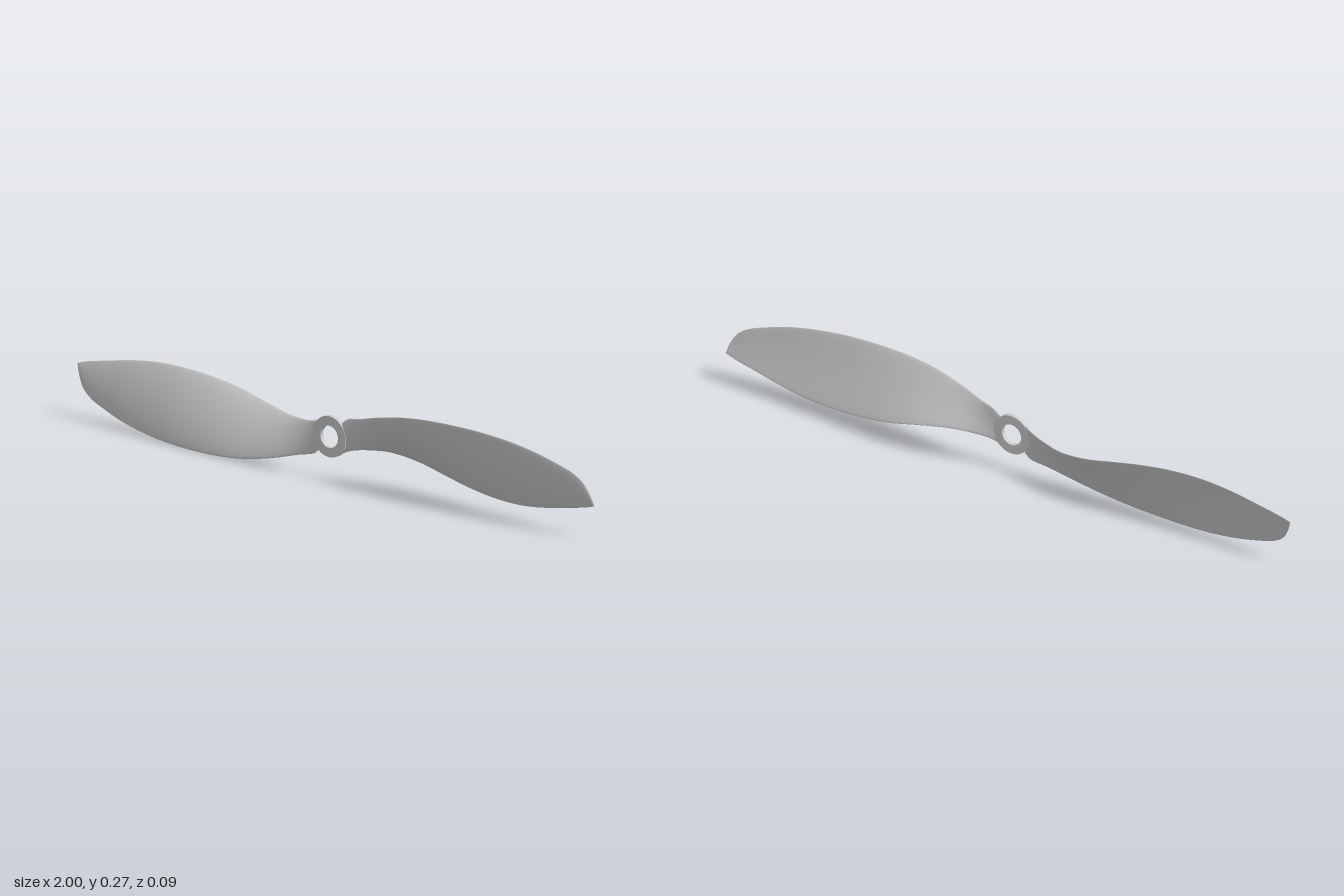
import * as THREE from 'three';

const AXIS_Y = 0.135; // height of the shaft axis

// Blade stations from root to tip: x, upper edge y, z, lower edge y, z, thickness
const STATIONS = [
  [0.045, 0.185, 0.013, 0.09, 0.012, 0.010],
  [0.07, 0.202, 0.014, 0.101, 0.006, 0.011],
  [0.12, 0.213, 0.022, 0.110, -0.008, 0.013],
  [0.2, 0.235, 0.034, 0.113, -0.029, 0.014],
  [0.3, 0.256, 0.042, 0.098, -0.043, 0.014],
  [0.4, 0.267, 0.044, 0.075, -0.045, 0.014],
  [0.5, 0.270, 0.042, 0.058, -0.038, 0.013],
  [0.6, 0.268, 0.038, 0.049, -0.030, 0.012],
  [0.7, 0.259, 0.031, 0.049, -0.024, 0.011],
  [0.8, 0.241, 0.023, 0.061, -0.018, 0.009],
  [0.9, 0.212, 0.012, 0.081, -0.014, 0.007],
  [0.94, 0.195, 0.007, 0.089, -0.013, 0.006],
  [0.97, 0.172, 0.002, 0.096, -0.012, 0.005],
  [0.99, 0.138, -0.005, 0.102, -0.011, 0.004],
  [1.0, 0.108, -0.01, 0.105, -0.011, 0.002],
];

const spline = (f) => new THREE.CatmullRomCurve3(
  STATIONS.map((s) => new THREE.Vector3(...f(s))), false, 'catmullrom', 0.5);

function bladeGeometry() {
  const upper = spline((s) => [s[0], s[1] - AXIS_Y, s[2]]);
  const lower = spline((s) => [s[0], s[3] - AXIS_Y, s[4]]);
  const thickness = spline((s) => [s[0], s[5], 0]);
  const rows = 84, sides = 40;
  const pos = [], index = [];

  // Closed cambered section, convex toward the front
  for (let i = 0; i <= rows; i++) {
    const t = i / rows;
    const a = upper.getPoint(t), b = lower.getPoint(t), th = thickness.getPoint(t).y;
    const dy = b.y - a.y, dz = b.z - a.z, len = Math.hypot(dy, dz);
    const camber = 0.035 * len;
    for (let j = 0; j < sides; j++) {
      const ang = (j / sides) * Math.PI * 2;
      const s = (1 - Math.cos(ang)) / 2;
      const off = camber * 4 * s * (1 - s) + (th / 2) * Math.sin(ang);
      pos.push(a.x, a.y + dy * s + (dz / len) * off, a.z + dz * s - (dy / len) * off);
    }
  }
  for (let i = 0; i < rows; i++) {
    for (let j = 0; j < sides; j++) {
      const k = (j + 1) % sides;
      const p = i * sides + j, q = i * sides + k;
      index.push(p, q, p + sides, q, q + sides, p + sides);
    }
  }

  // Flat end caps with their own vertices
  for (const row of [0, rows]) {
    const base = pos.length / 3;
    const ring = pos.slice(row * sides * 3, (row + 1) * sides * 3);
    for (const v of ring) pos.push(v);
    for (let j = 1; j < sides - 1; j++) {
      if (row === 0) index.push(base, base + j + 1, base + j);
      else index.push(base, base + j, base + j + 1);
    }
  }

  const g = new THREE.BufferGeometry();
  g.setAttribute('position', new THREE.Float32BufferAttribute(pos, 3));
  g.setIndex(index);
  g.computeVertexNormals();
  return g;
}

function hubGeometry() {
  const shape = new THREE.Shape().absarc(0, 0, 0.063, 0, Math.PI * 2, false);
  shape.holes.push(new THREE.Path().absarc(0, 0, 0.034, 0, Math.PI * 2, true));
  return new THREE.ExtrudeGeometry(shape, { depth: 0.013, bevelEnabled: false, curveSegments: 32 })
    .translate(0, 0, 0.008);
}

export function createModel() {
  const model = new THREE.Group();
  model.name = 'propeller';
  const material = new THREE.MeshStandardMaterial({ color: 0xcccccc, side: THREE.DoubleSide });

  const rotor = new THREE.Group();
  rotor.name = 'rotor';
  rotor.position.y = AXIS_Y;
  model.add(rotor);

  // Ring around the shaft hole
  const hub = new THREE.Mesh(hubGeometry(), material);
  hub.name = 'hub';
  rotor.add(hub);

  // Two equal blades, half a turn apart
  const geometry = bladeGeometry();
  ['leftBlade', 'rightBlade'].forEach((name, i) => {
    const blade = new THREE.Mesh(geometry, material);
    blade.name = name;
    blade.rotation.z = i * Math.PI;
    rotor.add(blade);
  });
  return model;
}
